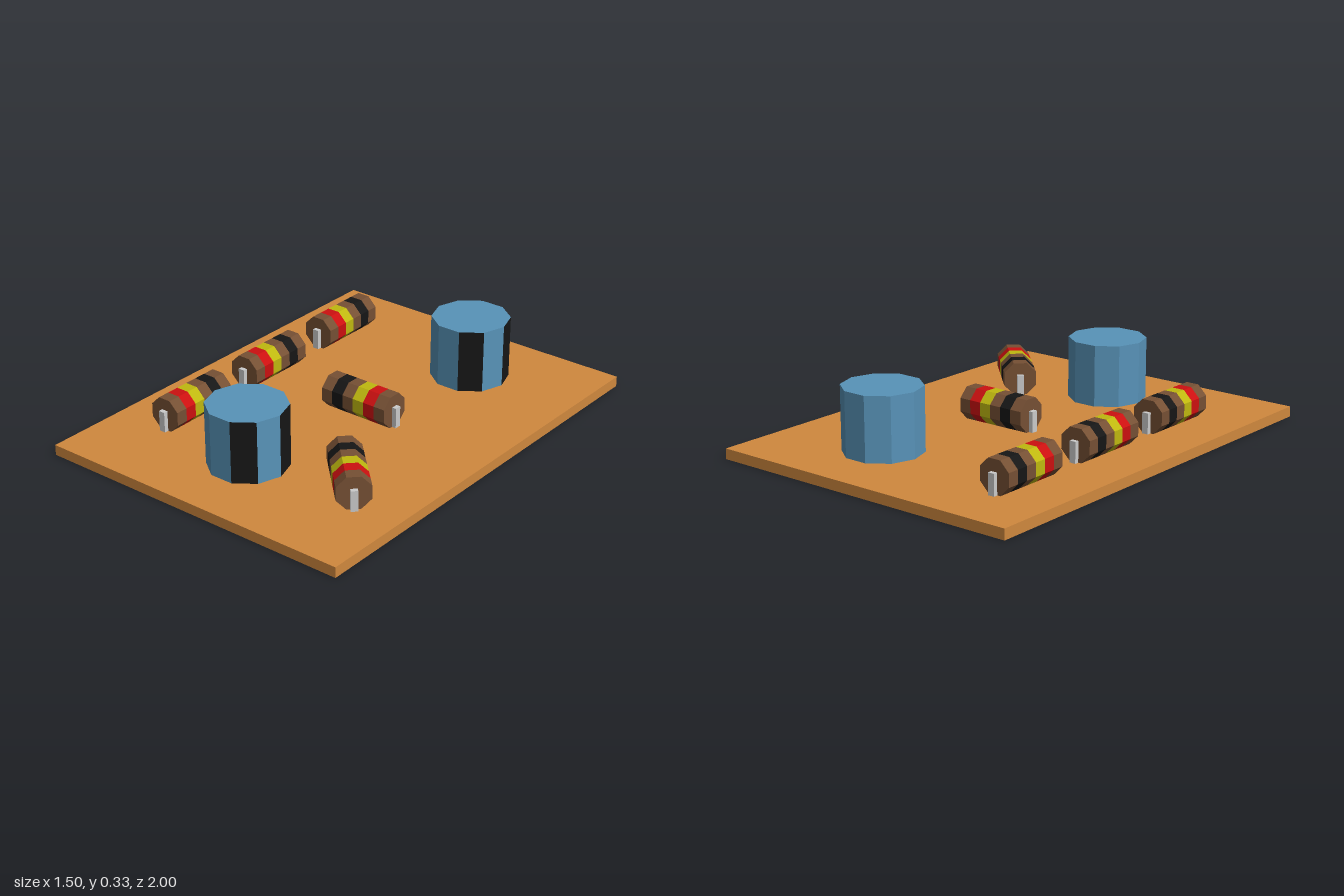
import * as THREE from 'three';

const mat = (color) => new THREE.MeshStandardMaterial({ color, flatShading: true });
const orange = mat(0xd0883e), blue = mat(0x5893b8), black = mat(0x161616);
const brown = mat(0x765034), yellow = mat(0xbfb80f), red = mat(0xcc1010), grey = mat(0xcccccc);

const BOARD_TOP = 0.047;

function add(parent, name, geometry, material, x = 0, y = 0, z = 0) {
  const mesh = new THREE.Mesh(geometry, material);
  mesh.name = name;
  mesh.position.set(x, y, z);
  parent.add(mesh);
  return mesh;
}

// Octagonal banded body lying along z, with a bent lead at each end
function makeResistor(x, z, angle) {
  const group = new THREE.Group();
  group.name = 'resistor';
  const bands = [brown, black, brown, yellow, red, brown];
  const length = 0.335, step = length / bands.length, apothem = 0.0725;
  const radius = apothem / Math.cos(Math.PI / 8);
  bands.forEach((material, i) => {
    const first = i === 0, last = i === bands.length - 1;
    // Only the outer bands need end caps
    const geo = new THREE.CylinderGeometry(radius, radius, step, 8, 1, !(first || last));
    geo.rotateY(Math.PI / 8).rotateX(Math.PI / 2);
    add(group, 'band', geo, material, 0, apothem, -length / 2 + step * (i + 0.5));
  });
  for (const side of [-1, 1]) {
    add(group, 'lead', new THREE.BoxGeometry(0.03, 0.093, 0.03), grey, 0, 0.0465, side * (length / 2 + 0.005));
  }
  group.position.set(x, BOARD_TOP, z);
  group.rotation.y = angle;
  return group;
}

// Ten-sided can with two black side panels
function makeCapacitor(x, z, height) {
  const group = new THREE.Group();
  group.name = 'capacitor';
  const r = 0.175, sides = 10, step = (Math.PI * 2) / sides, start = Math.PI / 10;
  for (let i = 0; i < sides; i++) {
    const dark = i === 0 || i === 2;
    const panel = new THREE.CylinderGeometry(r, r, height, 1, 1, true, start + i * step, step);
    add(group, dark ? 'stripePanel' : 'sidePanel', panel, dark ? black : blue, 0, height / 2, 0);
  }
  const cap = new THREE.CircleGeometry(r, sides);
  add(group, 'topCap', cap.clone().rotateX(-Math.PI / 2), blue, 0, height, 0);
  add(group, 'bottomCap', cap.rotateX(Math.PI / 2), blue);
  group.position.set(x, BOARD_TOP, z);
  return group;
}

export function createModel() {
  const model = new THREE.Group();
  model.name = 'circuitBoard';
  add(model, 'board', new THREE.BoxGeometry(1.5, BOARD_TOP, 2), orange, 0, BOARD_TOP / 2, 0);

  // Row of three resistors, then the sideways and diagonal ones
  for (const z of [-0.57, -0.057, 0.448]) model.add(makeResistor(-0.482, z, 0));
  model.add(makeResistor(0.083, -0.016, Math.PI / 2));
  model.add(makeResistor(0.425, 0.51, Math.PI / 4));

  model.add(makeCapacitor(0.22, -0.61, 0.285));
  model.add(makeCapacitor(-0.02, 0.612, 0.279));
  return model;
}
